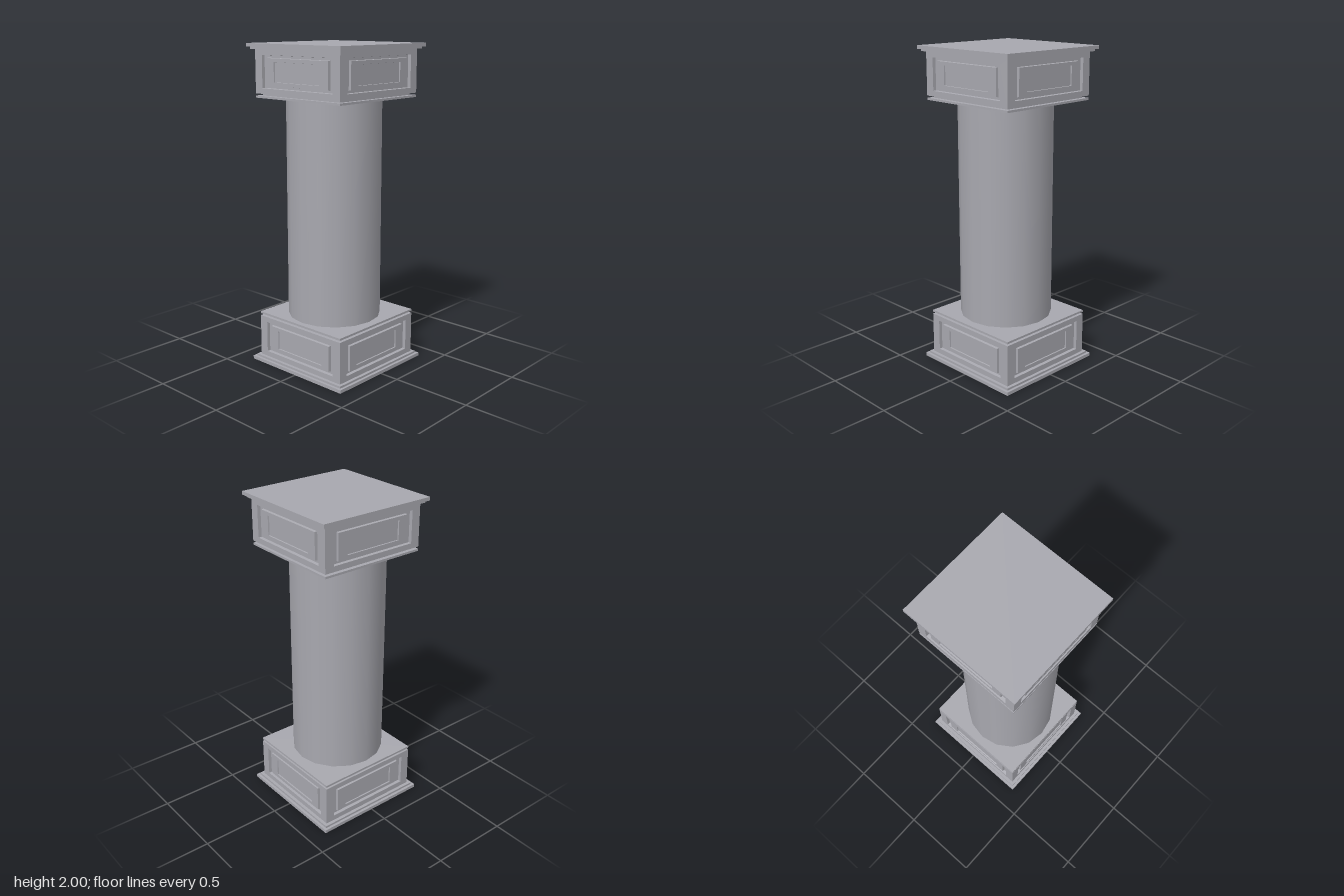
import * as THREE from 'three';

const stone = new THREE.MeshStandardMaterial({ color: 0xa8a8af });
stone.name = 'grey stone';

const BLOCK = 0.341; // half width of the square blocks
const BLOCK_H = 0.131; // half height of the square blocks

function add(parent, geometry, name) {
  const mesh = new THREE.Mesh(geometry, stone);
  mesh.name = name;
  parent.add(mesh);
  return mesh;
}

// Square slab between two heights
function slab(parent, name, half, y0, y1) {
  add(parent, new THREE.BoxGeometry(half * 2, y1 - y0, half * 2), name).position.y = (y0 + y1) / 2;
}

// One block side: nested rectangles [half width, half height, z] forming a
// groove, a raised panel and a shallow sunken field
function panelGeometry() {
  const rings = [
    [BLOCK, BLOCK_H, 0],
    [0.283, 0.098, 0],
    [0.281, 0.096, -0.02],
    [0.249, 0.082, -0.02],
    [0.247, 0.08, -0.004],
    [0.187, 0.059, -0.004],
    [0.185, 0.058, -0.012],
  ].map(([w, h, z]) => [[-w, -h, z], [w, -h, z], [w, h, z], [-w, h, z]]);
  const points = [];
  const quad = (a, b, c, d) => points.push(...a, ...b, ...c, ...a, ...c, ...d);
  for (let r = 0; r < rings.length - 1; r++) {
    for (let i = 0; i < 4; i++) {
      const j = (i + 1) % 4;
      quad(rings[r][i], rings[r][j], rings[r + 1][j], rings[r + 1][i]);
    }
  }
  quad(...rings[rings.length - 1]);
  const geometry = new THREE.BufferGeometry();
  geometry.setAttribute('position', new THREE.Float32BufferAttribute(points, 3));
  geometry.computeVertexNormals();
  return geometry.translate(0, 0, BLOCK);
}

// Block with a panel on each of its four sides
function panelledBlock(parent, y) {
  const block = new THREE.Group();
  block.name = 'panelledBlock';
  block.position.y = y;
  const side = panelGeometry();
  for (let i = 0; i < 4; i++) add(block, side, 'sidePanel').rotation.y = (i * Math.PI) / 2;
  for (const s of [1, -1]) {
    const cap = add(block, new THREE.PlaneGeometry(BLOCK * 2, BLOCK * 2), 'blockCap');
    cap.rotation.x = (-s * Math.PI) / 2;
    cap.position.y = s * BLOCK_H;
  }
  parent.add(block);
}

// Stack of slabs around a panelled block, standing on y = 0
function pedestal(name) {
  const group = new THREE.Group();
  group.name = name;
  slab(group, 'outerSlab', 0.378, 0, 0.021);
  slab(group, 'step', 0.361, 0.021, 0.034);
  panelledBlock(group, 0.165);
  slab(group, 'neck', 0.312, 0.296, 0.309);
  slab(group, 'ledge', 0.341, 0.309, 0.322);
  return group;
}

export function createModel() {
  const model = new THREE.Group();
  model.name = 'column';

  // Base, and the same stack upside down as the capital
  const base = pedestal('base');
  const capital = pedestal('capital');
  capital.rotation.x = Math.PI;
  capital.position.y = 2;

  // Shaft, set slightly towards the front
  const shaft = add(model, new THREE.CylinderGeometry(0.29, 0.29, 1.37, 16, 1, true), 'shaft');
  shaft.position.set(0, 1, 0.019);

  model.add(base, capital);
  return model;
}
